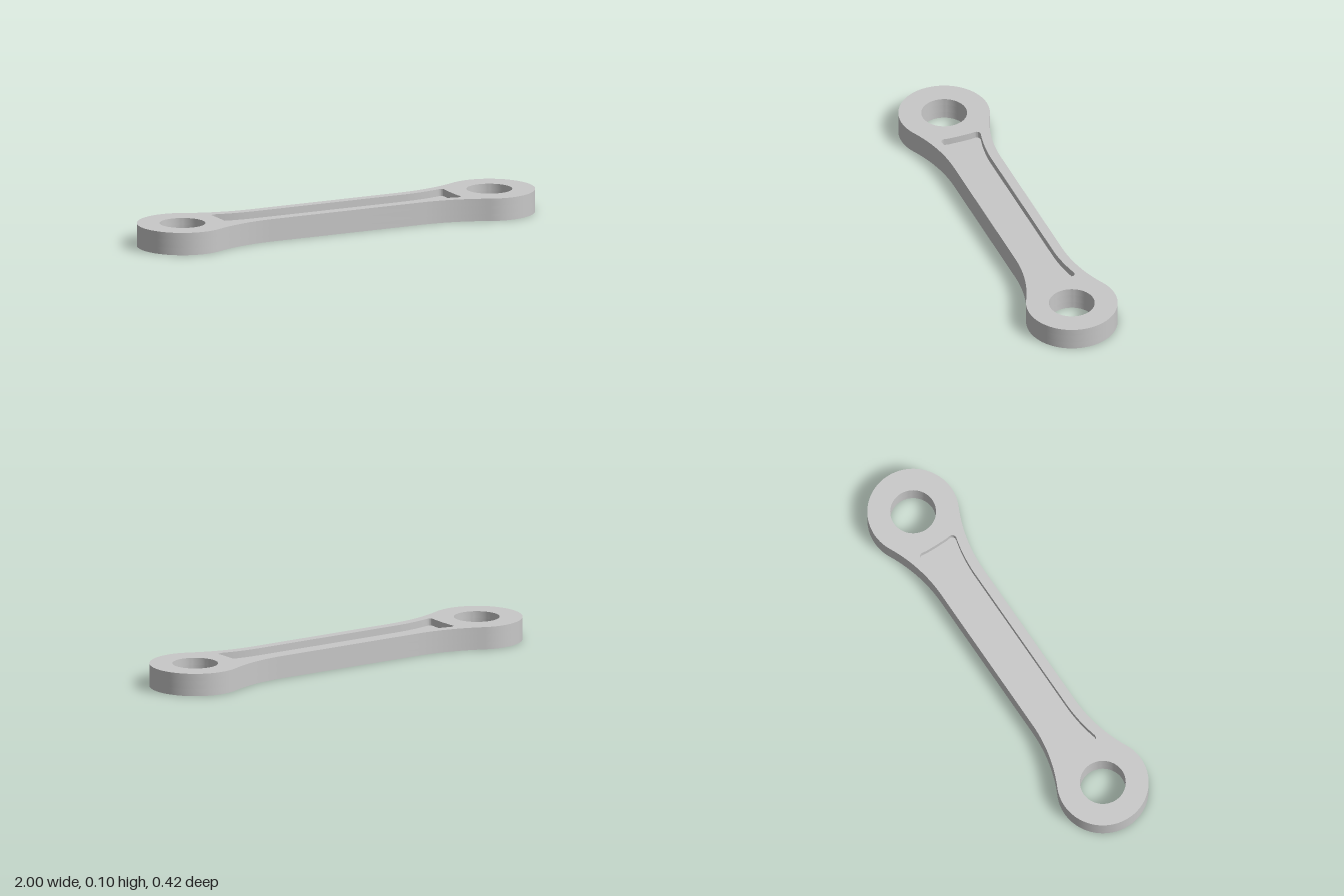
import * as THREE from 'three';
import { toCreasedNormals } from 'three/addons/utils/BufferGeometryUtils.js';

const EYE_X = 0.79, EYE_R = 0.21, BORE_R = 0.105;
const GROOVE_IN = 0.14, GROOVE_OUT = 0.185;
const FLARE = { x: 0.38, y: 0.837, r: 0.722 }; // fillet between shank and eye
const HEIGHT = 0.105, RECESS = 0.033;

// Points along a circular arc
function arc(cx, cy, r, a0, a1, n) {
  return Array.from({ length: n + 1 }, (_, i) => {
    const a = a0 + (a1 - a0) * i / n;
    return new THREE.Vector2(cx + r * Math.cos(a), cy + r * Math.sin(a));
  });
}

// Closed loop from one quarter that runs from the y side towards the x axis
function mirrorQuarter(q) {
  const flip = (pts, sx, sy) => pts.map(p => new THREE.Vector2(p.x * sx, p.y * sy));
  const back = [...q].reverse();
  return [...q, ...flip(back.slice(1), 1, -1), ...flip(q, -1, -1), ...flip(back.slice(1), -1, 1)];
}

function outline() {
  const a = Math.atan2(FLARE.y, FLARE.x - EYE_X); // direction of the tangent point
  return mirrorQuarter([
    ...arc(FLARE.x, FLARE.y, FLARE.r, -Math.PI / 2, a - Math.PI, 14),
    ...arc(EYE_X, 0, EYE_R, a, 0, 36).slice(1),
  ]);
}

// Reversed so that it runs anticlockwise, like the other openings
function pocket() {
  return mirrorQuarter([
    ...arc(FLARE.x, FLARE.y, FLARE.r + 0.045, -Math.PI / 2, -1.312, 10),
    ...arc(0.581, 0.077, 0.019, 1.35, -0.15, 8),
    new THREE.Vector2(0.597, 0.055),
    new THREE.Vector2(0.596, 0),
  ]).reverse();
}

const circle = (cx, r) => arc(cx, 0, r, 0, Math.PI * 2, 64).slice(0, -1);

// Horizontal slab from y0 to y1 with openings
function slab(name, points, holes, y0, y1, material) {
  const shape = new THREE.Shape(points);
  shape.holes = holes.map(h => new THREE.Path(h));
  const geo = new THREE.ExtrudeGeometry(shape, { depth: y1 - y0, bevelEnabled: false });
  geo.rotateX(-Math.PI / 2).translate(0, y0, 0);
  const mesh = new THREE.Mesh(toCreasedNormals(geo, 0.5), material);
  mesh.name = name;
  return mesh;
}

export function createModel() {
  const group = new THREE.Group();
  group.name = 'connectingLink';
  const steel = new THREE.MeshStandardMaterial({ color: 0xc8c8c8 });
  steel.name = 'grey steel';

  const eyes = [-EYE_X, EYE_X];
  const bores = eyes.map(x => circle(x, BORE_R));
  const grooves = eyes.map(x => circle(x, GROOVE_OUT));

  // Lower rim with pocket and ring openings, solid web, upper rim with pocket
  group.add(slab('lowerRim', outline(), [pocket(), ...grooves], 0, RECESS, steel));
  group.add(slab('web', outline(), bores, RECESS, HEIGHT - RECESS, steel));
  group.add(slab('upperRim', outline(), [pocket(), ...bores], HEIGHT - RECESS, HEIGHT, steel));

  // Collars around the bores on the underside, each in a rounded ring groove
  const grooveProfile = arc((GROOVE_IN + GROOVE_OUT) / 2, 0, (GROOVE_OUT - GROOVE_IN) / 2, Math.PI, 0, 12);
  eyes.forEach((x, i) => {
    const side = i ? 'left' : 'right';
    group.add(slab(side + 'Collar', circle(x, GROOVE_IN), [bores[i]], 0, RECESS, steel));
    const groove = new THREE.Mesh(new THREE.LatheGeometry(grooveProfile, 64), steel);
    groove.name = side + 'Groove';
    groove.position.x = x;
    group.add(groove);
  });
  return group;
}
